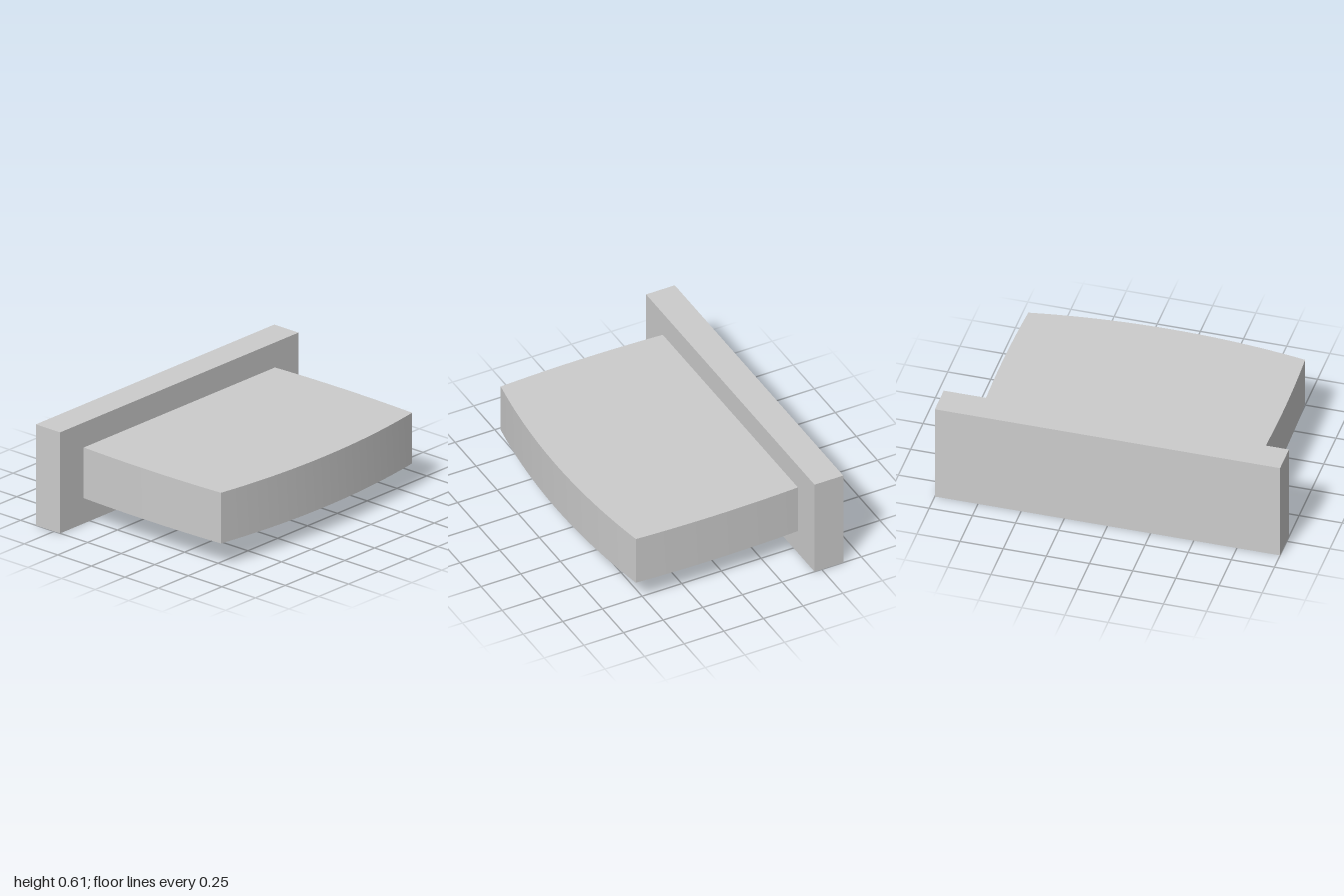
import * as THREE from 'three';
import { toCreasedNormals } from 'three/addons/utils/BufferGeometryUtils.js';

export function createModel() {
  const model = new THREE.Group();
  model.name = 'drawerPull';
  const material = new THREE.MeshStandardMaterial({ color: 0xcccccc });

  const halfDepth = 0.636;  // overall z extent
  const joint = -0.455;     // front face of the back plate

  // Upright rectangular back plate
  const thickness = joint + halfDepth;
  const plate = new THREE.Mesh(new THREE.BoxGeometry(2, 0.606, thickness), material);
  plate.name = 'backPlate';
  plate.position.set(0, 0.303, joint - thickness / 2);
  model.add(plate);

  // Flat slab with a bowed front and slightly bowed sides, outlined in x and z
  const side = 0.802, corner = 0.567, bottom = 0.152, top = 0.456;
  const middle = (joint + corner) / 2;
  const sideControl = side + 2 * 0.014;
  const frontControl = corner + 2 * (halfDepth - corner);
  const outline = new THREE.Shape();
  outline.moveTo(-side, joint);
  outline.lineTo(side, joint);
  outline.quadraticCurveTo(sideControl, middle, side, corner);
  outline.quadraticCurveTo(0, frontControl, -side, corner);
  outline.quadraticCurveTo(-sideControl, middle, -side, joint);

  const slabGeometry = new THREE.ExtrudeGeometry(outline, {
    depth: top - bottom, bevelEnabled: false, curveSegments: 24,
  });
  slabGeometry.rotateX(Math.PI / 2);
  slabGeometry.translate(0, top, 0);
  const slab = new THREE.Mesh(toCreasedNormals(slabGeometry, Math.PI / 6), material);
  slab.name = 'bowedSlab';
  model.add(slab);

  return model;
}
